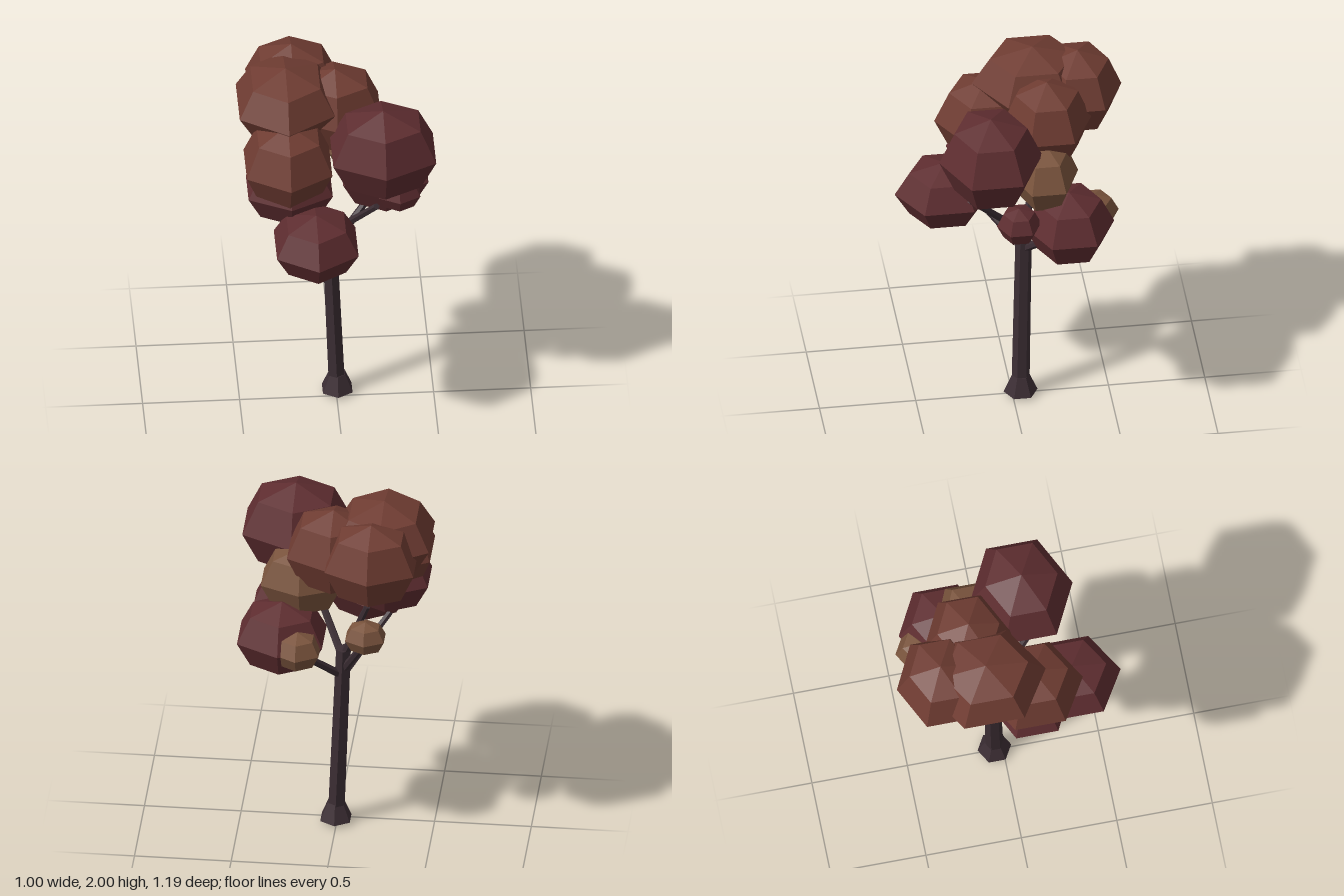
import * as THREE from 'three';

const mat = (color) => new THREE.MeshStandardMaterial({ color, flatShading: true });

export function createModel() {
  const tree = new THREE.Group();
  tree.name = 'tree';
  const bark = mat(0x3c2e34);
  const crimson = mat(0x5e2d30), rust = mat(0x6f3c32), tan = mat(0x7a543d);

  const add = (geometry, material, name) => {
    const mesh = new THREE.Mesh(geometry, material);
    mesh.name = name;
    tree.add(mesh);
    return mesh;
  };

  // Tapered six-sided limb between two points
  const limb = (from, to, r0, r1, name) => {
    const a = new THREE.Vector3(...from), b = new THREE.Vector3(...to);
    const dir = b.clone().sub(a);
    const mesh = add(new THREE.CylinderGeometry(r1, r0, dir.length(), 6), bark, name);
    mesh.position.copy(a).add(b).multiplyScalar(0.5);
    mesh.quaternion.setFromUnitVectors(new THREE.Vector3(0, 1, 0), dir.normalize());
  };

  // Leaning trunk with a flared foot
  limb([0.006, 0.005, -0.042], [-0.036, 1.055, -0.066], 0.047, 0.042, 'trunk');
  const flare = add(new THREE.CylinderGeometry(0.046, 0.088, 0.1, 6), bark, 'trunkFlare');
  flare.position.set(0.006, 0.07, -0.043);

  // Branches: start height, tip
  [
    [1.0, [0.19, 1.38, 0.245]],
    [0.89, [0.23, 1.15, -0.25]],
    [0.89, [-0.25, 1.13, 0.19]],
    [0.92, [-0.17, 1.2, -0.23]],
    [1.0, [-0.17, 1.38, -0.17]],
  ].forEach(([y, tip], i) => {
    limb([-0.03, y, -0.062], tip, 0.022, 0.017, 'branch' + (i + 1));
  });

  // Foliage clumps: material, centre, half extents
  const clumps = [
    [crimson, [0.23, 1.66, 0.142], [0.265, 0.25, 0.268]],
    [rust, [-0.255, 1.797, -0.14], [0.245, 0.203, 0.315]],
    [rust, [-0.258, 1.577, 0.105], [0.22, 0.238, 0.264]],
    [crimson, [-0.25, 1.418, 0.09], [0.217, 0.187, 0.22]],
    [rust, [-0.21, 1.757, -0.368], [0.229, 0.23, 0.228]],
    [rust, [0.003, 1.715, -0.18], [0.23, 0.238, 0.23]],
    [tan, [0.17, 1.505, -0.142], [0.205, 0.19, 0.177]],
    [crimson, [0.263, 1.235, -0.26], [0.22, 0.198, 0.234]],
    [crimson, [0.32, 1.297, 0.008], [0.107, 0.1, 0.115]],
    [tan, [0.168, 1.235, -0.4], [0.115, 0.105, 0.13]],
    [tan, [-0.165, 1.225, -0.225], [0.1, 0.09, 0.1]],
    [crimson, [-0.128, 1.225, 0.335], [0.21, 0.178, 0.257]],
  ];
  // Six-sided ball with its corners pointing along z
  const ball = new THREE.SphereGeometry(1, 6, 4).rotateY(Math.PI / 2);
  ball.scale(1 / Math.sin(Math.PI / 3), 1, 1);
  clumps.forEach(([material, centre, half], i) => {
    const mesh = add(ball, material, 'foliage' + (i + 1));
    mesh.position.set(...centre);
    mesh.scale.set(...half);
  });

  return tree;
}
